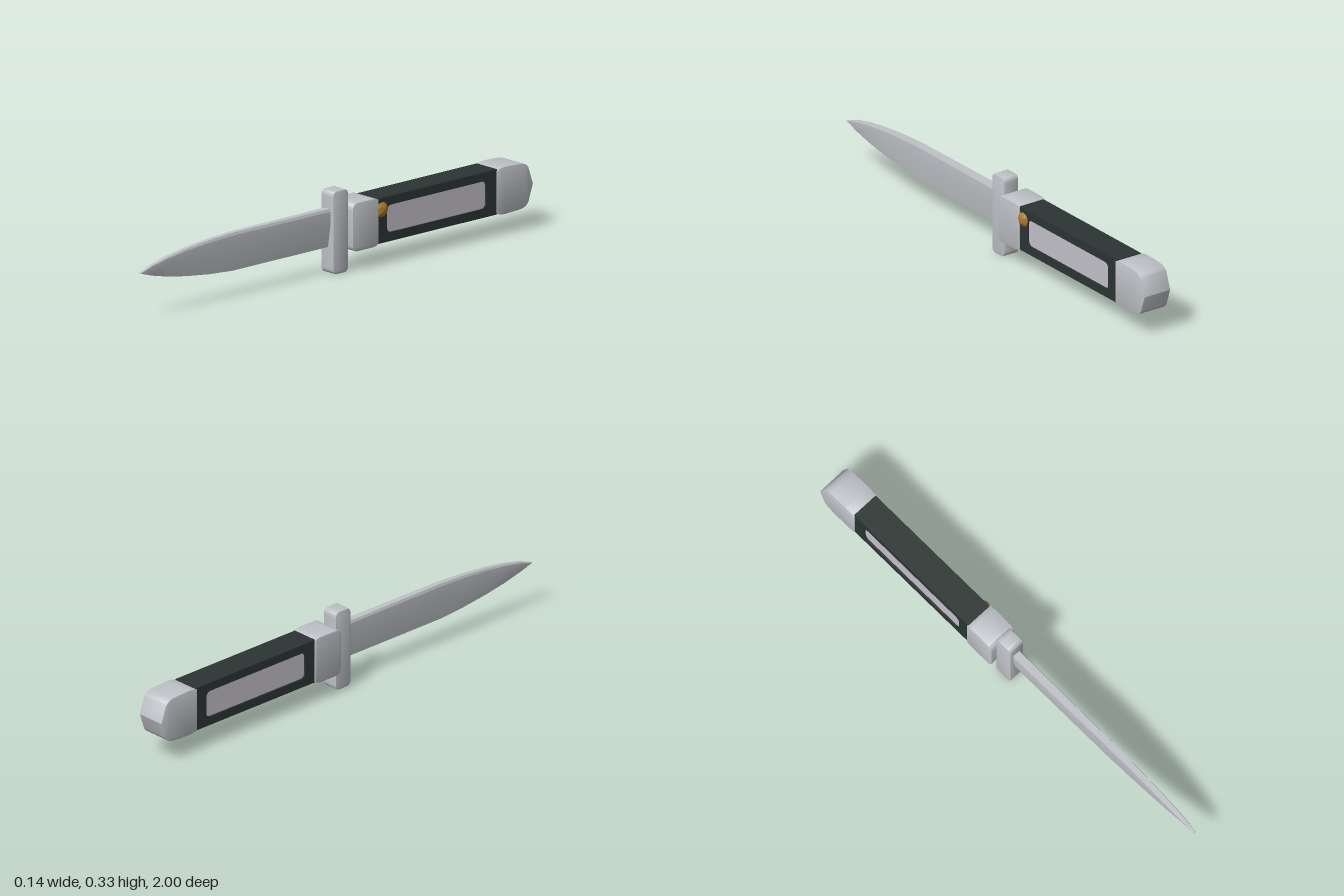
import * as THREE from 'three';
import { toCreasedNormals } from 'three/addons/utils/BufferGeometryUtils.js';

const CX = -0.0065; // centre plane of the knife

const material = (name, color) => {
  const m = new THREE.MeshStandardMaterial({ color });
  m.name = name;
  return m;
};

// Extrudes a side profile (u = -z, v = y) across x, centred on the knife.
function slab(shape, width, bevel) {
  const g = new THREE.ExtrudeGeometry(shape, {
    depth: width - 2 * bevel, bevelEnabled: bevel > 0, bevelThickness: bevel,
    bevelSize: bevel, bevelOffset: -bevel, bevelSegments: 2, curveSegments: 8,
  });
  g.translate(0, 0, -(width - 2 * bevel) / 2);
  g.rotateY(Math.PI / 2);
  g.translate(CX, 0, 0);
  return toCreasedNormals(g, 0.6);
}

// Rounded rectangle from (u0, v0) to (u1, v1).
function roundRect(path, u0, v0, u1, v1, r) {
  path.moveTo(u0 + r, v0);
  path.lineTo(u1 - r, v0);
  path.quadraticCurveTo(u1, v0, u1, v0 + r);
  path.lineTo(u1, v1 - r);
  path.quadraticCurveTo(u1, v1, u1 - r, v1);
  path.lineTo(u0 + r, v1);
  path.quadraticCurveTo(u0, v1, u0, v1 - r);
  path.lineTo(u0, v0 + r);
  path.quadraticCurveTo(u0, v0, u0 + r, v0);
  return path;
}

// Blade skinned over cross-sections: [z, bottom, top, half width]
function bladeGeometry() {
  const stations = [
    [0.0, 0.106, 0.26, 0.018], [0.52, 0.106, 0.26, 0.0145],
    [0.64, 0.115, 0.254, 0.0135], [0.76, 0.13, 0.243, 0.0125],
    [0.86, 0.147, 0.228, 0.011], [0.94, 0.166, 0.21, 0.009], [1.0, 0.185, 0.188, 0.006],
  ];
  const rings = stations.map(([z, y0, y1, w]) => {
    const right = [[0.2, 0], [1, 0.62], [1, 0.93], [0.75, 1]];
    const left = right.map(([a, b]) => [-a, b]).reverse();
    return [...right, ...left].map(([a, b]) => [CX + a * w, y0 + b * (y1 - y0), z]);
  });
  const pos = [];
  const tri = (a, b, c) => pos.push(...a, ...b, ...c);
  const n = rings[0].length;
  for (let i = 0; i < rings.length - 1; i++) {
    for (let j = 0; j < n; j++) {
      const k = (j + 1) % n, p = rings[i], q = rings[i + 1];
      tri(p[j], p[k], q[j]);
      tri(p[k], q[k], q[j]);
    }
  }
  const first = rings[0], last = rings[rings.length - 1];
  for (let j = 1; j < n - 1; j++) {
    tri(last[0], last[j], last[j + 1]);
    tri(first[0], first[j + 1], first[j]);
  }
  const g = new THREE.BufferGeometry();
  g.setAttribute('position', new THREE.Float32BufferAttribute(pos, 3));
  return toCreasedNormals(g, 0.3);
}

export function createModel() {
  const steel = material('steel', 0xbfc2c7);
  const black = material('dark handle', 0x2b3533);
  const pearl = material('pale inlay', 0xc5c0c8);
  const brass = material('brass', 0xa8782a);

  const group = new THREE.Group();
  group.name = 'knife';
  const add = (name, geometry, mat) => {
    const mesh = new THREE.Mesh(geometry, mat);
    mesh.name = name;
    group.add(mesh);
    return mesh;
  };

  add('blade', bladeGeometry(), steel);
  add('guard', slab(roundRect(new THREE.Shape(), -0.02, 0, 0.058, 0.33, 0.022), 0.067, 0.002), steel);

  // Bolster: rounded toward the guard, slightly narrowed at the grip
  const bolster = new THREE.Shape();
  bolster.moveTo(0.085, 0.081);
  bolster.lineTo(0.165, 0.081);
  bolster.quadraticCurveTo(0.18, 0.082, 0.192, 0.09);
  bolster.lineTo(0.192, 0.265);
  bolster.quadraticCurveTo(0.18, 0.273, 0.165, 0.274);
  bolster.lineTo(0.085, 0.274);
  bolster.quadraticCurveTo(0.057, 0.274, 0.056, 0.245);
  bolster.lineTo(0.056, 0.11);
  bolster.quadraticCurveTo(0.057, 0.081, 0.085, 0.081);
  add('bolster', slab(bolster, 0.123, 0.002), steel);

  // Pommel: swelling sides and a blunt point at the back
  const pommel = new THREE.Shape();
  pommel.moveTo(0.812, 0.092);
  pommel.quadraticCurveTo(0.83, 0.083, 0.86, 0.083);
  pommel.lineTo(0.93, 0.086);
  pommel.quadraticCurveTo(0.968, 0.089, 0.978, 0.112);
  pommel.lineTo(1, 0.178);
  pommel.lineTo(0.978, 0.243);
  pommel.quadraticCurveTo(0.968, 0.266, 0.93, 0.269);
  pommel.lineTo(0.86, 0.272);
  pommel.quadraticCurveTo(0.83, 0.272, 0.812, 0.263);
  add('pommel', slab(pommel, 0.123, 0.002), steel);

  // Grip frame with a window on each side, filled by a recessed inlay
  const grip = new THREE.Shape();
  grip.moveTo(0.188, 0.088);
  grip.lineTo(0.816, 0.088);
  grip.lineTo(0.816, 0.268);
  grip.lineTo(0.188, 0.268);
  grip.holes.push(roundRect(new THREE.Path(), 0.24, 0.123, 0.76, 0.233, 0.025));
  add('gripFrame', slab(grip, 0.114, 0), black);

  const inlay = new THREE.BoxGeometry(0.1, 0.13, 0.54);
  inlay.translate(CX, 0.178, -0.5);
  add('gripInlay', inlay, pearl);

  // Release button on the left side
  const profile = [[0, 0.018], [0.012, 0.016], [0.022, 0.01], [0.029, 0.004], [0.029, -0.006]]
    .reverse().map(([r, h]) => new THREE.Vector2(r, h));
  const button = add('releaseButton', toCreasedNormals(new THREE.LatheGeometry(profile, 16), 0.6), brass);
  button.rotation.z = -Math.PI / 2;
  button.position.set(0.049, 0.222, -0.213);

  return group;
}
